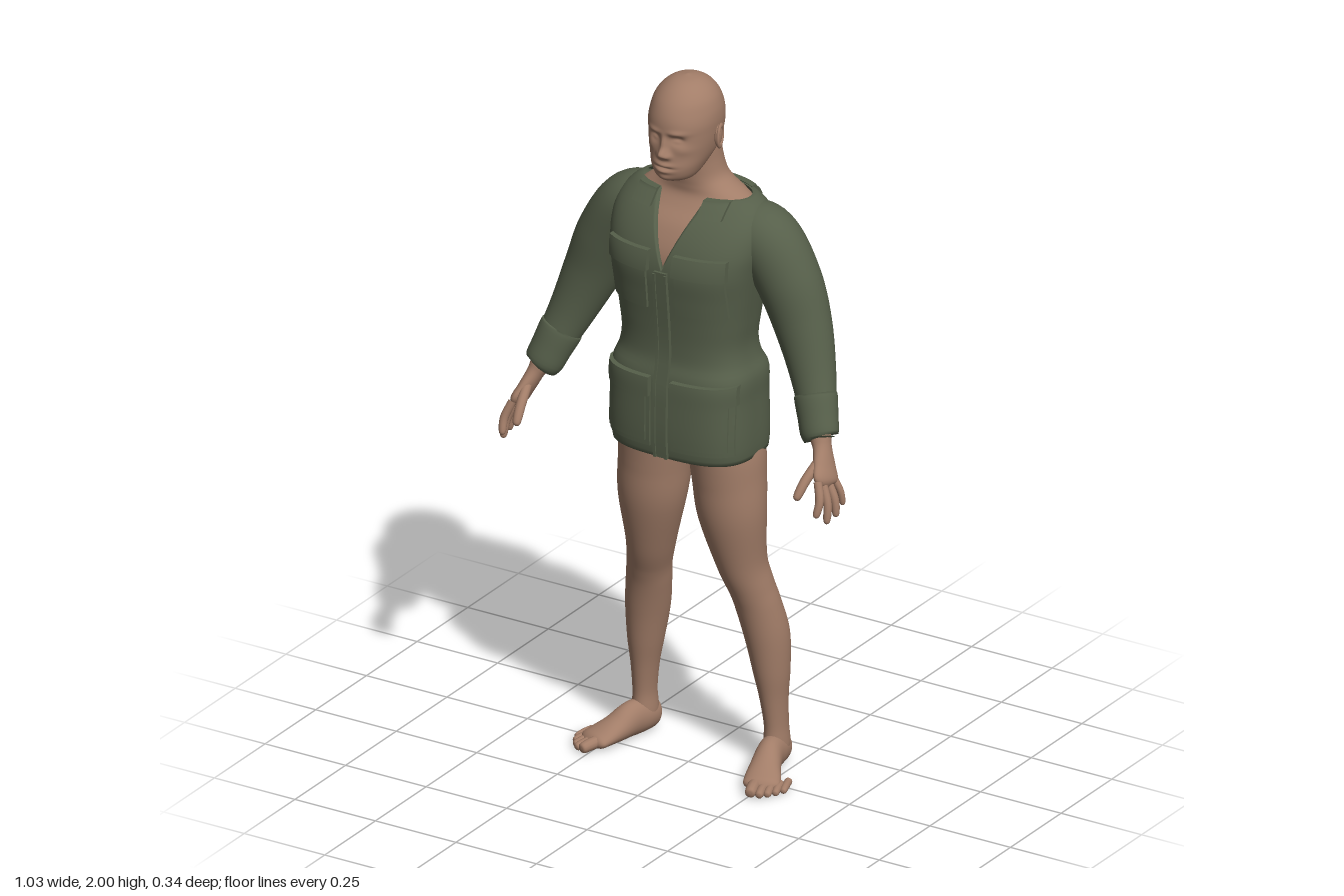
import * as THREE from 'three';
import { mergeVertices } from 'three/addons/utils/BufferGeometryUtils.js';

const skin = new THREE.MeshStandardMaterial({ color: 0xa27d68 });
skin.name = 'skin';
const cloth = new THREE.MeshStandardMaterial({ color: 0x565f4a, side: THREE.DoubleSide });
cloth.name = 'olive cloth';

const lerp = THREE.MathUtils.lerp;
const V = (x, y, z) => new THREE.Vector3(x, y, z);

// Smooth interpolation through rows of numbers
function spline(keys, rows) {
  const s = new THREE.CubicInterpolant(keys, rows.flat(), rows[0].length);
  return t => Array.from(s.evaluate(t));
}
const byIndex = rows => spline(rows.map((_, i) => i), rows);

// Closed-around surface: f(angle, v) for v in 0..1
function loft(nu, nv, f) {
  const pos = [], idx = [];
  for (let i = 0; i <= nv; i++)
    for (let j = 0; j < nu; j++) pos.push(...f((j / nu) * Math.PI * 2, i / nv).toArray());
  for (let i = 0; i < nv; i++)
    for (let j = 0; j < nu; j++) {
      const a = i * nu + j, b = i * nu + (j + 1) % nu;
      idx.push(a, b, a + nu, b, b + nu, a + nu);
    }
  let g = new THREE.BufferGeometry();
  g.setAttribute('position', new THREE.Float32BufferAttribute(pos, 3));
  g.setIndex(idx);
  g = mergeVertices(g, 1e-5);
  g.computeVertexNormals();
  return g;
}

// Point on a horizontal superellipse section [y, halfWidth, zFront, zBack, power]
function ring([y, w, zf, zb, n], a, inset = 0) {
  const s = Math.sin(a), c = Math.cos(a);
  const r = (Math.abs(s) ** n + Math.abs(c) ** n) ** (-1 / n);
  return V((w - inset) * r * s, y, (zf + zb) / 2 + ((zf - zb) / 2 - inset) * r * c);
}

// Limb through sections [x, y, z, radiusA, radiusB]; s = side
function limb(rows, s, ref = V(0, 0, 1), nu = 28, per = 6) {
  const n = rows.length - 1, f = byIndex(rows.map(r => [r[0] * s, ...r.slice(1)]));
  return loft(nu, n * per, (a, v) => {
    const t = v * n, p = f(t), e = 0.02;
    const T = V(...f(Math.min(n, t + e))).sub(V(...f(Math.max(0, t - e)))).normalize();
    const A = T.clone().cross(ref).normalize(), B = A.clone().cross(T);
    return V(...p).addScaledVector(A, Math.max(0, p[3]) * Math.sin(a))
      .addScaledVector(B, Math.max(0, p[4]) * Math.cos(a));
  });
}

// Finger or toe from base via mid to tip
function digit(base, mid, tip, r, s, ref) {
  const near = tip.map((t, i) => lerp(mid[i], t, 0.82));
  return limb([[...base, r, r], [...mid, r, r], [...near, r * 0.8, r * 0.8], [...tip, 0, 0]], s, ref, 12, 5);
}

// Jacket body sections
const coat = [
  [0.935, 0.204, 0.13, -0.155, 3], [0.96, 0.207, 0.134, -0.157, 3], [1.1, 0.205, 0.134, -0.157, 3],
  [1.17, 0.203, 0.13, -0.155, 3], [1.205, 0.19, 0.12, -0.141, 2.8], [1.25, 0.183, 0.118, -0.136, 2.7],
  [1.32, 0.19, 0.122, -0.142, 2.7], [1.4, 0.202, 0.13, -0.155, 2.7], [1.48, 0.215, 0.136, -0.165, 2.7],
  [1.54, 0.225, 0.122, -0.17, 2.6], [1.6, 0.222, 0.09, -0.164, 2.4], [1.64, 0.2, 0.056, -0.15, 2.3],
  [1.662, 0.172, 0.036, -0.134, 2.2],
];
const coatAt = spline(coat.map(r => r[0]), coat);
const HEM = 0.935, TOP = 1.662;
const spine = (x, y) => 0.012 * Math.exp(-((x / 0.045) ** 2) - (((y - 1.47) / 0.13) ** 2));

// Depth of the jacket surface at (x, y), front or back
function coatZ(x, y, side) {
  const [, w, zf, zb, n] = coatAt(y);
  const k = (1 - Math.min(0.999, Math.abs(x / w)) ** n) ** (1 / n);
  return (zf + zb) / 2 + side * k * (zf - zb) / 2 + (side < 0 ? spine(x, y) : 0);
}

// Cloth panel lying on the jacket surface
function panel(x0, x1, y0, y1, off, side = 1) {
  const g = new THREE.BoxGeometry(1, 1, 1, 14, 10, 1), p = g.attributes.position;
  for (let i = 0; i < p.count; i++) {
    const x = lerp(x0, x1, 0.5 + side * p.getX(i)), y = lerp(y0, y1, 0.5 + p.getY(i));
    p.setXYZ(i, x, y, coatZ(x, y, side) + side * (p.getZ(i) > 0 ? off : -0.008));
  }
  g.computeVertexNormals();
  return g;
}

function coatBody() {
  const rows = 60;
  return loft(128, rows, (a, v) => {
    // V-shaped opening at the front
    let top = TOP;
    if (Math.cos(a) > 0)
      for (let k = 0; k < 12; k++)
        top = lerp(top, Math.min(TOP, 1.48 + 2.45 * Math.abs(ring(coatAt(top), a).x)), 0.5);
    const i = Math.round(v * rows), folded = i === 0 || i === rows;
    const y = lerp(HEM, top, THREE.MathUtils.clamp((i - 1) / (rows - 2), 0, 1));
    const p = ring(coatAt(y), a, folded ? 0.012 : 0);
    if (Math.cos(a) < 0) p.z += spine(p.x, y);
    return p;
  });
}

// Body under the jacket, rising into the neck
const body = byIndex([
  [0.925, 0.03, 0, -0.06, 2], [0.94, 0.16, 0.07, -0.125, 2.3], [1, 0.185, 0.1, -0.14, 2.4], [1.2, 0.165, 0.1, -0.12, 2.4],
  [1.4, 0.18, 0.112, -0.135, 2.4], [1.5, 0.2, 0.118, -0.148, 2.4], [1.58, 0.2, 0.088, -0.146, 2.3],
  [1.63, 0.178, 0.048, -0.136, 2.2], [1.66, 0.148, 0.03, -0.128, 2.1], [1.685, 0.11, 0.03, -0.122, 2],
  [1.71, 0.086, 0.034, -0.116, 2], [1.75, 0.076, 0.04, -0.108, 2], [1.8, 0.072, 0.045, -0.098, 2],
  [1.84, 0.068, 0.03, -0.088, 2],
]);

// Head sections, chin to crown
const head = byIndex([
  [1.725, 0.015, 0.085, 0.03, 2], [1.732, 0.045, 0.108, 0, 2], [1.745, 0.058, 0.121, -0.02, 2.1],
  [1.77, 0.07, 0.126, -0.05, 2.2], [1.8, 0.081, 0.123, -0.085, 2.2], [1.83, 0.088, 0.12, -0.096, 2.2],
  [1.86, 0.092, 0.12, -0.104, 2.2], [1.89, 0.094, 0.122, -0.107, 2.1], [1.92, 0.091, 0.115, -0.103, 2],
  [1.95, 0.081, 0.099, -0.088, 2], [1.975, 0.062, 0.075, -0.066, 2], [1.992, 0.036, 0.045, -0.036, 2],
  [2, 0, 0.004, 0.004, 2],
]);
// Facial relief: [x, y, spreadX, spreadY, height], mirrored in x
const face = [
  [0, 1.815, 0.013, 0.014, 0.022], [0, 1.84, 0.009, 0.024, 0.012], [0.014, 1.808, 0.008, 0.008, 0.009],
  [0.035, 1.873, 0.024, 0.008, 0.006], [0.034, 1.853, 0.016, 0.011, -0.014], [0.034, 1.85, 0.011, 0.006, 0.007],
  [0, 1.782, 0.024, 0.006, 0.007], [0, 1.764, 0.022, 0.006, 0.007], [0, 1.773, 0.026, 0.003, -0.006],
  [0, 1.742, 0.02, 0.013, 0.006], [0.052, 1.825, 0.02, 0.014, 0.004],
];

export function createModel() {
  const model = new THREE.Group();
  model.name = 'man in field jacket';
  const add = (name, geo, mat) => {
    const m = new THREE.Mesh(geo, mat);
    m.name = name;
    model.add(m);
    return m;
  };

  add('body and neck', loft(64, 70, (a, v) => ring(body(v * 13), a)), skin);
  add('head', loft(110, 110, (a, v) => {
    const p = ring(head(v * 12), a), c = Math.cos(a);
    if (c > 0) {
      let d = 0;
      for (const [x, y, sx, sy, h] of face)
        d += h * Math.exp(-(((Math.abs(p.x) - x) / sx) ** 2) - (((p.y - y) / sy) ** 2));
      p.z += d * Math.min(1, c * 2);
    }
    return p;
  }), skin);

  add('jacket body', coatBody(), cloth);
  add('placket', panel(-0.02, 0.02, 0.937, 1.475, 0.007), cloth);
  add('back collar', panel(-0.135, 0.135, 1.612, 1.664, 0.013, -1), cloth);

  for (const s of [1, -1]) {
    const side = s > 0 ? 'left ' : 'right ';
    const put = (name, x0, x1, y0, y1, off) =>
      add(side + name, panel(Math.min(s * x0, s * x1), Math.max(s * x0, s * x1), y0, y1, off), cloth);

    // Jacket details
    put('lapel', 0.072, 0.138, 1.624, 1.664, 0.012);
    put('placket edge', 0.013, 0.021, 0.937, 1.47, 0.011);
    put('chest pocket', 0.045, 0.175, 1.36, 1.49, 0.009);
    put('chest pocket flap', 0.038, 0.18, 1.473, 1.53, 0.016);
    put('hip pocket', 0.033, 0.193, 0.965, 1.15, 0.006);
    put('hip pocket panel', 0.045, 0.183, 0.98, 1.12, 0.011);
    put('hip pocket flap', 0.033, 0.197, 1.11, 1.165, 0.017);

    // Sleeve and cuff
    add(side + 'sleeve', limb([
      [0.12, 1.575, -0.055, 0.072, 0.08], [0.205, 1.55, -0.057, 0.09, 0.09], [0.275, 1.45, -0.055, 0.09, 0.085],
      [0.325, 1.335, -0.048, 0.08, 0.074], [0.375, 1.21, -0.02, 0.063, 0.058], [0.425, 1.085, 0.028, 0.047, 0.041],
    ], s, undefined, 40, 8), cloth);
    add(side + 'cuff', limb([
      [0.393, 1.165, -0.003, 0.052, 0.044], [0.395, 1.16, -0.001, 0.06, 0.053], [0.413, 1.112, 0.017, 0.056, 0.05],
      [0.43, 1.066, 0.034, 0.051, 0.045], [0.43, 1.068, 0.033, 0.028, 0.026],
    ], s, undefined, 32, 4), cloth);

    // Hand
    add(side + 'hand', limb([
      [0.395, 1.17, 0, 0.035, 0.033], [0.43, 1.075, 0.034, 0.03, 0.028], [0.445, 1.04, 0.046, 0.023, 0.029],
      [0.462, 1, 0.063, 0.02, 0.04], [0.478, 0.965, 0.08, 0.017, 0.044], [0.486, 0.948, 0.086, 0, 0],
    ], s), skin);
    [ // base y, base z, tip
      [0.975, 0.114, [0.487, 0.885, 0.147]], [0.968, 0.092, [0.503, 0.86, 0.117]],
      [0.966, 0.069, [0.508, 0.867, 0.078]], [0.975, 0.048, [0.504, 0.885, 0.038]],
    ].forEach(([y, z, tip], i) => {
      const base = [0.474, y, z], mid = base.map((b, k) => (b + tip[k]) / 2);
      mid[0] += 0.009;
      add(side + 'finger ' + (i + 1), digit(base, mid, tip, i === 3 ? 0.0095 : 0.0115, s), skin);
    });
    add(side + 'thumb', digit([0.452, 1.015, 0.075], [0.442, 0.975, 0.125], [0.434, 0.93, 0.163], 0.0135, s), skin);

    // Leg
    add(side + 'leg', limb([
      [0.1, 1.01, -0.015, 0.085, 0.11], [0.108, 0.93, -0.02, 0.1, 0.108], [0.115, 0.85, -0.02, 0.099, 0.1],
      [0.124, 0.75, -0.02, 0.093, 0.09], [0.14, 0.61, -0.04, 0.067, 0.073], [0.158, 0.53, -0.06, 0.06, 0.064],
      [0.17, 0.47, -0.076, 0.061, 0.062], [0.185, 0.38, -0.095, 0.059, 0.064], [0.195, 0.28, -0.101, 0.048, 0.055],
      [0.2, 0.2, -0.105, 0.036, 0.045], [0.204, 0.12, -0.11, 0.03, 0.04], [0.204, 0.05, -0.112, 0.032, 0.042],
      [0.204, 0.02, -0.112, 0.01, 0.01],
    ], s, undefined, 40), skin);
    const seat = new THREE.SphereGeometry(0.078, 28, 20);
    seat.translate(s * 0.088, 0.985, -0.066);
    add(side + 'buttock', seat, skin);

    // Foot and toes
    const up = V(0, 1, 0);
    add(side + 'foot', limb([
      [0.197, 0.036, -0.163, 0, 0], [0.2, 0.04, -0.148, 0.027, 0.035], [0.204, 0.046, -0.11, 0.035, 0.045],
      [0.215, 0.05, -0.06, 0.036, 0.049], [0.232, 0.037, -0.01, 0.042, 0.036], [0.252, 0.026, 0.035, 0.049, 0.025],
      [0.263, 0.02, 0.06, 0.044, 0.018], [0.27, 0.017, 0.078, 0, 0],
    ], s, up), skin);
    [[0.262, 0.115, 0.0165], [0.284, 0.106, 0.0125], [0.299, 0.09, 0.0115], [0.312, 0.07, 0.011], [0.322, 0.046, 0.0105]]
      .forEach(([x, z, r], i) => add(side + 'toe ' + (i + 1),
        digit([x - 0.017, r + 0.006, z - 0.055], [x - 0.008, r + 0.004, z - 0.025], [x, r, z], r, s, up), skin));

    // Ear
    const ear = new THREE.SphereGeometry(1, 20, 16).scale(0.009, 0.03, 0.018);
    const rim = new THREE.TorusGeometry(0.017, 0.0045, 8, 24).scale(1, 1.65, 1).rotateY(Math.PI / 2);
    for (const [g, n, x] of [[ear, 'ear', 0.093], [rim, 'ear rim', 0.099]])
      add(side + n, g.rotateX(-0.15).rotateY(s * 0.2).translate(s * x, 1.842, 0), skin);
  }
  return model;
}
